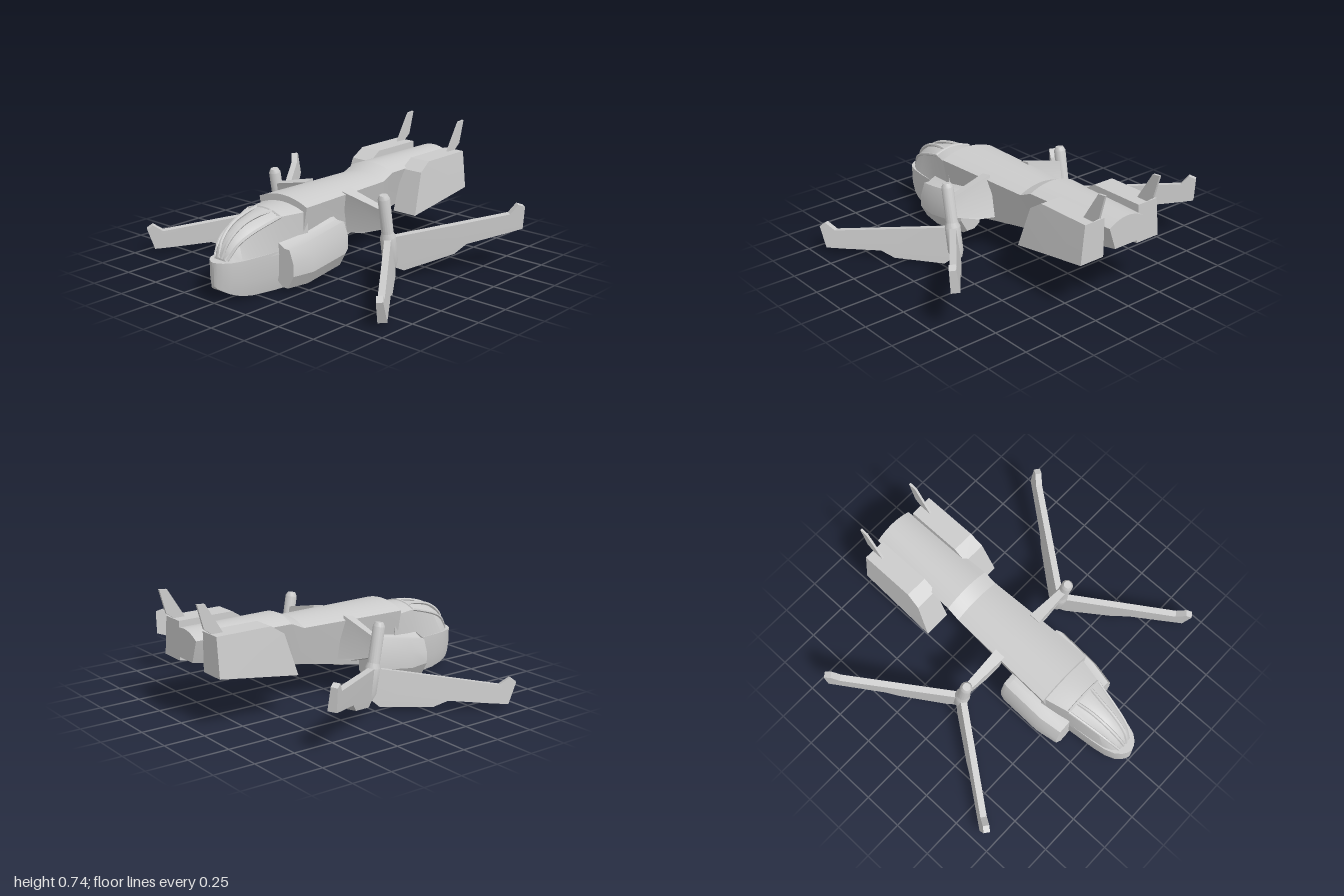
import * as THREE from 'three';
import { toCreasedNormals } from 'three/addons/utils/BufferGeometryUtils.js';

const material = new THREE.MeshStandardMaterial({ color: 0xcccccc });

function part(geometry, name, crease = 0.5) {
  const mesh = new THREE.Mesh(toCreasedNormals(geometry, crease), material);
  mesh.name = name;
  return mesh;
}

// Skin over rings (anticlockwise seen from +z), ordered from back to front
function loft(rings) {
  const pos = [];
  const tri = (...pts) => pts.forEach((p) => pos.push(...p));
  const n = rings[0].length;
  for (let i = 0; i < rings.length - 1; i++) {
    for (let k = 0; k < n; k++) {
      const a = rings[i][k], b = rings[i][(k + 1) % n];
      const c = rings[i + 1][(k + 1) % n], d = rings[i + 1][k];
      tri(a, b, c);
      tri(a, c, d);
    }
  }
  const back = rings[0], front = rings[rings.length - 1];
  for (let k = 1; k < n - 1; k++) {
    tri(back[0], back[k + 1], back[k]);
    tri(front[0], front[k], front[k + 1]);
  }
  const g = new THREE.BufferGeometry();
  g.setAttribute('position', new THREE.Float32BufferAttribute(pos, 3));
  return g;
}

// Symmetric ring: flat bottom, leaning sides and an arched top
function archRing(z, bottomHalf, bottom, half, shoulder, top, steps = 10) {
  const ring = [[bottomHalf, bottom, z]];
  for (let i = 0; i <= steps; i++) {
    const t = 1 - (2 * i) / steps;
    ring.push([half * t, shoulder + (top - shoulder) * (1 - t * t), z]);
  }
  ring.push([-bottomHalf, bottom, z]);
  return ring;
}

// Side profile of [z, y] points with a thickness along x
function slab(points, thickness) {
  const shape = new THREE.Shape(points.map(([z, y]) => new THREE.Vector2(z, y)));
  const g = new THREE.ExtrudeGeometry(shape, { depth: thickness, bevelEnabled: false });
  return g.translate(0, 0, -thickness / 2).rotateY(-Math.PI / 2);
}

function mirrorRing(ring, s) {
  return s > 0 ? ring : ring.map(([x, y, z]) => [-x, y, z]).reverse();
}

// Blade profile measured outward from the pivot
const BLADE = [[0, -0.18], [0.07, -0.222], [0.38, -0.18], [0.46, -0.132], [0.7, -0.115],
  [0.81, -0.105], [0.835, 0.03], [0.795, 0.05], [0.74, 0], [0, 0]];

function wing(s) {
  const g = new THREE.Group();
  g.name = s > 0 ? 'leftWing' : 'rightWing';
  g.position.set(s * 0.44, 0.245, 0.03);
  g.rotation.x = 0.171;

  // Pivot post with a thicker hub below
  const post = [[0, -0.19], [0.035, -0.19], [0.047, -0.15], [0.047, 0.0], [0.036, 0.03],
    [0.036, 0.245], [0.024, 0.268], [0, 0.268]].map(([r, y]) => new THREE.Vector2(r, y));
  g.add(part(new THREE.LatheGeometry(post, 16), 'pivotPost'));

  // Front and rear blades, thinned a little along the top edge
  for (const [name, angle] of [['frontBlade', 0.636], ['rearBlade', Math.PI - 0.636]]) {
    const blade = slab(BLADE, 0.052);
    const p = blade.attributes.position;
    for (let i = 0; i < p.count; i++) if (p.getY(i) > -0.01) p.setX(i, p.getX(i) * 0.75);
    g.add(part(blade.rotateY(s * angle), name));
  }

  // Arm to the fuselage
  const arm = new THREE.Shape([[0, 0.06], [0, 0.175], [-0.29, 0.245], [-0.29, -0.02], [-0.17, 0.0]]
    .reverse().map(([x, y]) => new THREE.Vector2(x, y)));
  const armGeo = new THREE.ExtrudeGeometry(arm, { depth: 0.07, bevelEnabled: false }).translate(0, 0, -0.035);
  const p = armGeo.attributes.position;
  for (let i = 0; i < p.count; i++) if (p.getX(i) > -0.01) p.setZ(i, p.getZ(i) * 0.6);
  if (s < 0) armGeo.rotateY(Math.PI);
  g.add(part(armGeo, 'wingArm'));
  return g;
}

function rearNacelle(s) {
  const g = new THREE.Group();
  g.name = s > 0 ? 'leftNacelle' : 'rightNacelle';
  const box = slab([[-0.92, 0.32], [-0.4, 0.245], [-0.48, 0.5], [-0.565, 0.555], [-0.92, 0.555]], 0.17);
  box.translate(s * 0.215, 0, 0);
  // Outer wall leans inward towards the top
  const p = box.attributes.position;
  for (let i = 0; i < p.count; i++) {
    if (Math.abs(p.getX(i)) > 0.25) p.setX(i, s * (0.3 - 0.028 * Math.max(0, (p.getY(i) - 0.3) / 0.255)));
  }
  g.add(part(box, 'nacelleBody'));
  const fin = slab([[-0.835, 0.545], [-0.9, 0.545], [-0.96, 0.59], [-1, 0.735], [-0.95, 0.73]].reverse(), 0.014);
  fin.translate(s * 0.205, 0, 0);
  g.add(part(fin, 'tailFin'));
  return g;
}

function sidePod(s) {
  // Each station: z, bottom, top, outer x
  const rings = [[0.18, 0.09, 0.33, 0.262], [0.21, 0.07, 0.335, 0.27], [0.48, 0.03, 0.29, 0.268],
    [0.62, 0.03, 0.262, 0.245]].map(([z, b, t, x]) => mirrorRing([
    [0.12, b + 0.03, z], [0.16, b, z], [x - 0.045, b, z], [x, b + 0.08, z],
    [x, t - 0.08, z], [x - 0.03, t, z], [0.18, t, z], [0.12, t + 0.03, z]], s));
  return part(loft(rings), s > 0 ? 'leftPod' : 'rightPod');
}

export function createModel() {
  const model = new THREE.Group();
  model.name = 'aircraft';

  // Main fuselage with a raised rear deck
  model.add(part(loft([
    archRing(-0.965, 0.085, 0.37, 0.132, 0.505, 0.548),
    archRing(-0.345, 0.1, 0.25, 0.16, 0.505, 0.543),
    archRing(-0.26, 0.105, 0.235, 0.163, 0.468, 0.507),
    archRing(0.45, 0.12, 0.1, 0.19, 0.465, 0.507),
  ]), 'fuselage', 0.35));

  // Lower nose
  const chin = [[0.42, 0.165, 0.1], [0.56, 0.145, 0.002], [0.62, 0.134, 0], [0.8, 0.118, 0.012],
    [0.88, 0.106, 0.03], [0.94, 0.084, 0.053], [0.975, 0.055, 0.075], [0.992, 0.028, 0.088], [1, 0.006, 0.1]];
  model.add(part(loft(chin.map(([z, h, b]) => [
    [h * 0.78, b, z], [h * 0.97, b + (0.238 - b) * 0.4, z], [h, 0.238, z],
    [-h, 0.238, z], [-h * 0.97, b + (0.238 - b) * 0.4, z], [-h * 0.78, b, z]])), 'chin', 0.6));

  // Upper nose: z, lower half width, sill half width, sill height, top height
  const cabin = [[0.42, 0.165, 0.172, 0.435, 0.467], [0.6, 0.137, 0.13, 0.435, 0.465],
    [0.7, 0.126, 0.108, 0.405, 0.445], [0.8, 0.114, 0.09, 0.37, 0.415], [0.87, 0.103, 0.075, 0.335, 0.372],
    [0.92, 0.082, 0.055, 0.285, 0.318], [0.945, 0.058, 0.035, 0.25, 0.265]];
  model.add(part(loft(cabin.map(([z, b, h, s, t]) => archRing(z, b, 0.22, h, s, t))), 'cabin', 0.6));

  // Canopy frame: spine rails, side sills and rear hoop
  const rail = (pts, r, name) => {
    const curve = new THREE.CatmullRomCurve3(pts.map((p) => new THREE.Vector3(...p)));
    model.add(part(new THREE.TubeGeometry(curve, 16, r, 6), name));
  };
  for (const s of [1, -1]) {
    rail([[s * 0.012, 0.25, 0.945], [s * 0.025, 0.335, 0.91], [s * 0.036, 0.41, 0.82],
      [s * 0.046, 0.447, 0.7], [s * 0.06, 0.455, 0.6]], 0.011, 'spineRail');
    rail([[s * 0.05, 0.245, 0.94], [s * 0.075, 0.325, 0.88], [s * 0.092, 0.37, 0.8],
      [s * 0.11, 0.405, 0.7], [s * 0.128, 0.435, 0.6]], 0.009, 'canopySill');
  }
  rail([[0.128, 0.436, 0.6], [0.065, 0.456, 0.6], [0, 0.463, 0.6], [-0.065, 0.456, 0.6],
    [-0.128, 0.436, 0.6]], 0.009, 'canopyHoop');

  for (const s of [1, -1]) model.add(sidePod(s), wing(s), rearNacelle(s));
  return model;
}
